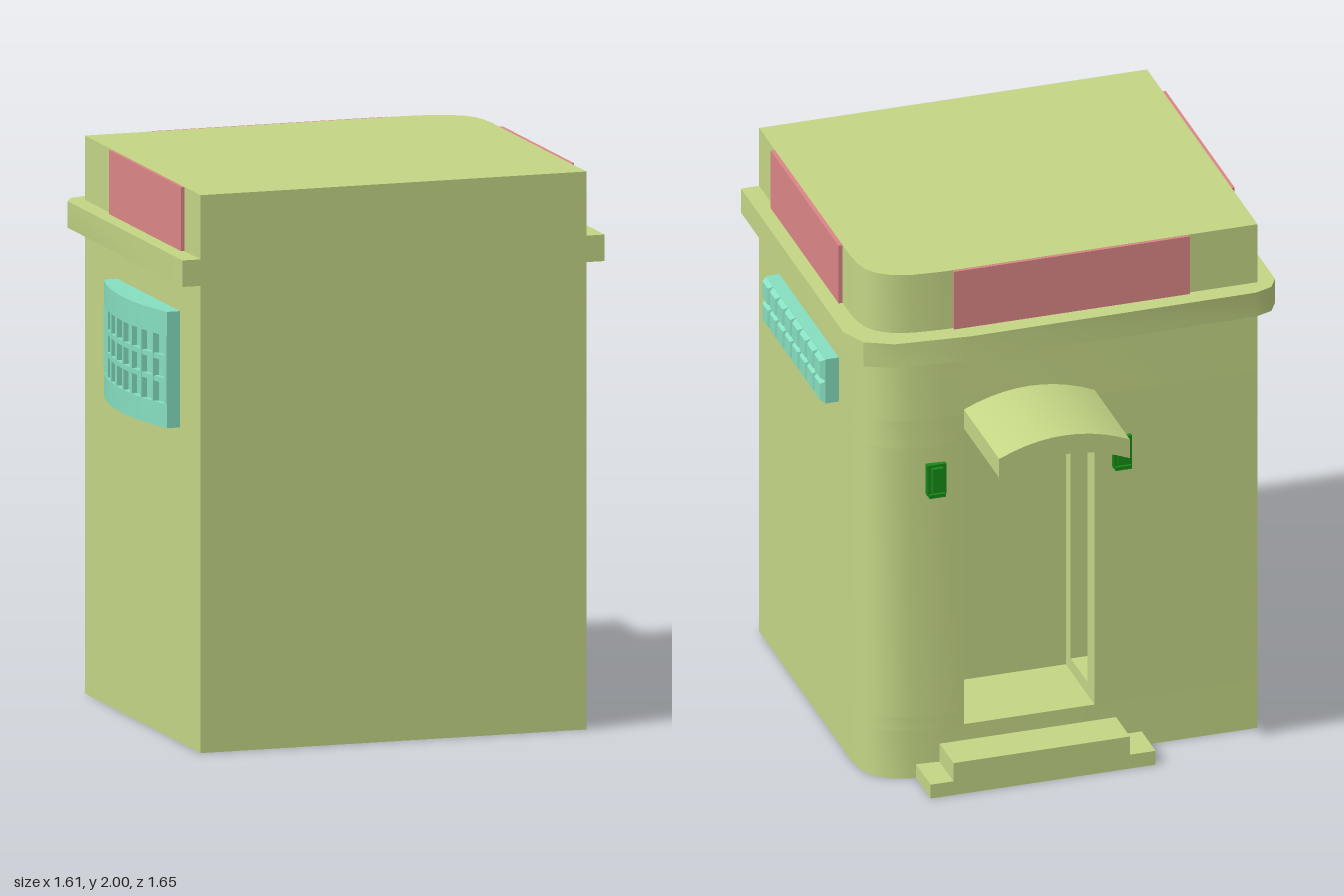
import * as THREE from 'three';
import { toCreasedNormals } from 'three/addons/utils/BufferGeometryUtils.js';

const mat = (color, flatShading = false) => new THREE.MeshStandardMaterial({ color, flatShading });
const wallMat = mat(0xc4d685);
const redMat = mat(0xdc8686);
const tealMat = mat(0x86dfc0, true);
const greenMat = mat(0x188a18);

const WEST = -0.705, EAST = 0.735, FRONT = 0.825, BACK = -0.425;
const DOOR_L = -0.1, DOOR_R = 0.385, DOOR_IN = -0.1;

export function createModel() {
  const root = new THREE.Group();
  root.name = 'cornerBuilding';

  const add = (parent, name, geometry, material) => {
    const mesh = new THREE.Mesh(geometry, material);
    mesh.name = name;
    parent.add(mesh);
    return mesh;
  };
  const group = (name) => {
    const g = new THREE.Group();
    g.name = name;
    root.add(g);
    return g;
  };
  // Box given by its minimum and maximum corners
  const box = (parent, name, material, [x0, y0, z0], [x1, y1, z1]) => {
    const g = new THREE.BoxGeometry(x1 - x0, y1 - y0, z1 - z0);
    g.translate((x0 + x1) / 2, (y0 + y1) / 2, (z0 + z1) / 2);
    return add(parent, name, g, material);
  };
  // Footprint of [x, z] points raised from y0 to y1
  const prism = (points, y0, y1) => {
    const shape = new THREE.Shape(points.map(([x, z]) => new THREE.Vector2(x, -z)));
    const g = new THREE.ExtrudeGeometry(shape, { depth: y1 - y0, bevelEnabled: false });
    g.rotateX(-Math.PI / 2).translate(0, y0, 0);
    return toCreasedNormals(g, 0.6);
  };

  // Walls: footprint with one rounded back corner, optionally cut by the porch
  const corner = [[0.46, BACK], [0.57, -0.415], [0.64, -0.395], [0.69, -0.36],
    [0.717, -0.32], [0.73, -0.27], [EAST, -0.2]];
  const footprint = (cut) => [[WEST, FRONT], [WEST, BACK], ...cut, ...corner, [EAST, FRONT]];
  const nicheZ0 = -0.345, nicheZ1 = -0.155, nicheDepth = 0.07;
  const porch = [[DOOR_L, BACK], [DOOR_L, DOOR_IN], [DOOR_R, DOOR_IN], [DOOR_R, BACK]];
  const porchWithNiches = [
    [DOOR_L, BACK], [DOOR_L, nicheZ0], [DOOR_L - nicheDepth, nicheZ0],
    [DOOR_L - nicheDepth, nicheZ1], [DOOR_L, nicheZ1], [DOOR_L, DOOR_IN],
    [DOOR_R, DOOR_IN], [DOOR_R, nicheZ1], [DOOR_R + nicheDepth, nicheZ1],
    [DOOR_R + nicheDepth, nicheZ0], [DOOR_R, nicheZ0], [DOOR_R, BACK],
  ];
  const walls = group('walls');
  add(walls, 'base', prism(footprint([]), 0, 0.19), wallMat);
  add(walls, 'porchSill', prism(footprint(porch), 0.19, 0.24), wallMat);
  add(walls, 'porchWalls', prism(footprint(porchWithNiches), 0.24, 1.31), wallMat);
  add(walls, 'porchLintel', prism(footprint(porch), 1.31, 1.42), wallMat);
  add(walls, 'upperWalls', prism(footprint([]), 1.42, 2), wallMat);

  // Projecting ledge around three sides
  add(root, 'ledge', prism([
    [-0.772, FRONT], [-0.772, -0.42], [-0.74, -0.475], [-0.675, -0.5],
    [0.385, -0.505], [0.66, -0.48], [0.76, -0.43], [0.803, -0.335], [0.803, FRONT],
  ], 1.675, 1.77), wallMat);

  // Sign panels above the ledge
  const signs = group('signPanels');
  box(signs, 'rightSign', redMat, [0.72, 1.77, -0.12], [0.75, 1.999, 0.65]);
  box(signs, 'leftSign', redMat, [-0.717, 1.77, -0.13], [-0.69, 1.999, 0.65]);
  box(signs, 'backSign', redMat, [-0.45, 1.77, -0.437], [0.425, 1.999, -0.41]);

  // Arched canopy, continued inward as the porch ceiling
  const mid = (DOOR_L + DOOR_R) / 2;
  const arch = new THREE.Shape();
  arch.moveTo(DOOR_L, 1.365);
  arch.quadraticCurveTo(mid, 1.475, DOOR_R, 1.365);
  arch.lineTo(DOOR_R, 1.44);
  arch.quadraticCurveTo(mid, 1.55, DOOR_L, 1.44);
  const canopy = new THREE.ExtrudeGeometry(arch, {
    depth: 0.825 + DOOR_IN, bevelEnabled: false, curveSegments: 10,
  });
  canopy.translate(0, 0, -0.825);
  add(root, 'canopy', toCreasedNormals(canopy, 0.6), wallMat);

  // Entrance steps
  const steps = group('steps');
  box(steps, 'lowerStep', wallMat, [-0.275, 0, -0.582], [0.56, 0.055, -0.4]);
  box(steps, 'upperStep', wallMat, [-0.18, 0.055, -0.582], [0.475, 0.127, -0.4]);

  // Wall lamps on both sides of the entrance
  for (const [name, x] of [['lampLeft', 0.49], ['lampRight', -0.2]]) {
    const lamp = group(name);
    box(lamp, 'lampBody', greenMat, [x - 0.035, 1.125, -0.44], [x + 0.035, 1.245, -0.415]);
    box(lamp, 'lampFace', greenMat, [x - 0.02, 1.14, -0.455], [x + 0.02, 1.235, -0.43]);
    box(lamp, 'lampFoot', greenMat, [x - 0.03, 1.118, -0.45], [x + 0.03, 1.132, -0.42]);
  }

  // Flat window: a slab with two rows of bevelled panes
  const flat = group('flatWindow');
  const z0 = -0.077, z1 = 0.597, cols = 8, rows = 2;
  box(flat, 'windowSlab', tealMat, [0.72, 1.357, z0], [0.785, 1.532, z1]);
  const pitchZ = (z1 - z0) / cols, pitchY = 0.175 / rows;
  const pane = new THREE.CylinderGeometry(0.4 * Math.SQRT2 * 0.9, 0.49 * Math.SQRT2, 1, 4);
  pane.rotateY(Math.PI / 4).rotateZ(-Math.PI / 2).scale(0.018, pitchY, pitchZ);
  for (let r = 0; r < rows; r++) {
    for (let c = 0; c < cols; c++) {
      add(flat, 'pane', pane, tealMat)
        .position.set(0.793, 1.357 + (r + 0.5) * pitchY, z0 + (c + 0.5) * pitchZ);
    }
  }

  // Bowed window: curved rails and bars in front of a set-back pane
  const bow = group('bowWindow');
  const bowMid = 0.265, bowHalf = 0.34;
  const bowX = (t) => -0.805 + 0.05 * t * t;
  const bowSlab = (name, y0, y1, inset) => {
    const pts = [[-0.69, bowMid + bowHalf], [-0.69, bowMid - bowHalf]];
    for (let i = 0; i <= 8; i++) {
      const t = -1 + i / 4;
      pts.push([bowX(t) + inset, bowMid + t * bowHalf]);
    }
    add(bow, name, prism(pts, y0, y1), tealMat);
  };
  bowSlab('bottomRail', 1.13, 1.215, 0);
  bowSlab('topRail', 1.46, 1.547, 0);
  bowSlab('bowPane', 1.215, 1.46, 0.022);
  for (const y of [1.297, 1.378]) bowSlab('crossBar', y - 0.009, y + 0.009, 0.003);
  for (let i = 0; i <= 8; i++) {
    const t = -0.96 + 0.24 * i;
    const w = i % 8 === 0 ? 0.0136 : 0.009;
    const z = bowMid + t * bowHalf;
    box(bow, 'uprightBar', tealMat, [bowX(t) + 0.003, 1.215, z - w], [-0.7, 1.46, z + w]);
  }

  return root;
}
